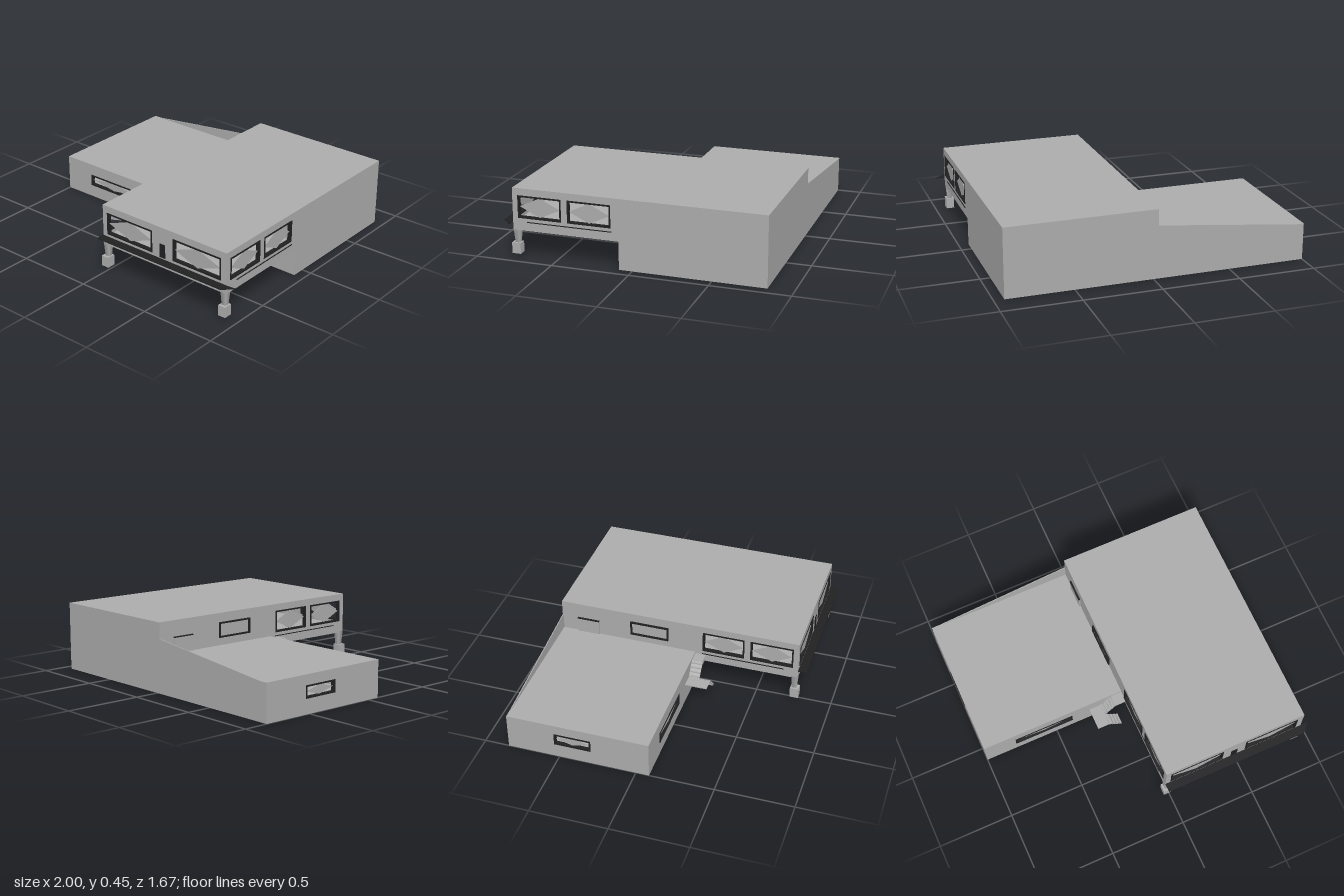
import * as THREE from 'three';

export function createModel() {
  const model = new THREE.Group();
  const grey = new THREE.MeshStandardMaterial({ name: 'concrete grey', color: 0xababab, side: THREE.DoubleSide });
  const dark = new THREE.MeshStandardMaterial({ name: 'frame black', color: 0x202022, side: THREE.DoubleSide });
  const T = 0.02; // wall thickness

  function add(name, geo, mat = grey, parent = model) {
    const mesh = new THREE.Mesh(geo, mat);
    mesh.name = name;
    parent.add(mesh);
    return mesh;
  }

  // Box from its two extreme corners
  function box(name, [x0, x1], [y0, y1], [z0, z1], mat) {
    const geo = new THREE.BoxGeometry(x1 - x0, y1 - y0, z1 - z0);
    geo.translate((x0 + x1) / 2, (y0 + y1) / 2, (z0 + z1) / 2);
    return add(name, geo, mat);
  }

  const polygon = (points) => new THREE.Shape(points.map(([u, v]) => new THREE.Vector2(u, v)));
  const rect = ([u0, u1, v0, v1]) => polygon([[u0, v0], [u1, v0], [u1, v1], [u0, v1]]);

  // Upright plate: axis 'z' spans x and y, axis 'x' spans z and y; lo is its smaller coordinate on the axis
  function plate(name, shape, axis, lo, depth, mat) {
    const geo = new THREE.ExtrudeGeometry(shape, { depth, bevelEnabled: false });
    if (axis === 'x') geo.rotateY(-Math.PI / 2).translate(lo + depth, 0, 0);
    else geo.translate(0, 0, lo);
    return add(name, geo, mat);
  }

  // Black frame around a diamond pane
  function windowUnit(axis, lo, [u0, u1, v0, v1], border = 0.01) {
    const frame = rect([u0, u1, v0, v1]);
    frame.holes.push(rect([u0 + border, u1 - border, v0 + border, v1 - border]));
    plate('windowFrame', frame, axis, lo - 0.003, T + 0.006, dark);
    const um = (u0 + u1) / 2, vm = (v0 + v1) / 2;
    const pane = polygon([[u0 + border, vm], [um, v0 + border], [u1 - border, vm], [um, v1 - border]]);
    plate('diamondPane', pane, axis, lo + 0.008, 0.004, grey);
  }

  // Wall with window openings
  function wall(name, axis, lo, bounds, windows = []) {
    const shape = rect(bounds);
    for (const w of windows) {
      shape.holes.push(rect(w));
      windowUnit(axis, lo, w);
    }
    plate(name, shape, axis, lo, T);
  }

  // Tall rear block
  box('rearBlock', [-0.03, 0.935], [0, 0.45], [-0.84, 0.085]);

  // Raised front room
  wall('frontWall', 'z', 0.775 - T, [-0.03, 0.935, 0.18, 0.45],
    [[0.005, 0.37, 0.258, 0.405], [0.53, 0.895, 0.258, 0.405]]);
  const sideWindows = [[0.135, 0.415, 0.26, 0.405], [0.455, 0.74, 0.26, 0.405]];
  wall('leftWall', 'x', 0.935 - T, [0.085, 0.775 - T, 0.18, 0.45], sideWindows);
  wall('rightWall', 'x', -0.03, [0.085, 0.775 - T, 0.18, 0.45], sideWindows);
  box('frontRoof', [-0.03 + T, 0.935 - T], [0.43, 0.45], [0.085, 0.775 - T]);
  box('frontFloor', [-0.03 + T, 0.935 - T], [0.215, 0.235], [0.085, 0.775 - T]);
  box('balconyDoor', [0.43, 0.472], [0.25, 0.34], [0.774, 0.779], dark);

  // Beams below the raised floor
  box('longBeam', [0.44, 0.465], [0.183, 0.215], [0.085, 0.755]);
  for (const z of [0.1, 0.31, 0.53]) box('crossBeam', [-0.01, 0.915], [0.183, 0.215], [z, z + 0.022]);

  // Tapered posts on block feet
  for (const [x, footX] of [[-0.01, -0.013], [0.912, 0.912]]) {
    const shaft = new THREE.CylinderGeometry(0.03, 0.02, 0.1, 4, 1).rotateY(Math.PI / 4);
    add('postShaft', shaft.toNonIndexed()).position.set(x, 0.14, 0.754);
    box('postFoot', [footX - 0.026, footX + 0.026], [0.025, 0.095], [0.73, 0.787]);
  }

  // Thin mitred ledge along the front
  const ledge = new THREE.ExtrudeGeometry(
    polygon([[-0.03, 0.775], [0.935, 0.775], [0.995, 0.77], [0.935, 0.832], [-0.03, 0.832]]),
    { depth: 0.005, bevelEnabled: false });
  ledge.rotateX(Math.PI / 2).translate(0, 0.24, 0);
  add('frontLedge', ledge, dark);
  for (const x of [-0.034, 0.935]) box('sideTrim', [x, x + 0.004], [0.234, 0.239], [0.13, 0.68], dark);

  // Low wing
  wall('wingFrontWall', 'z', 0.085 - T, [-1, -0.03, 0, 0.24], [[-0.787, -0.383, 0.085, 0.163]]);
  wall('wingSideWall', 'x', -1, [-0.84 + T, 0.085 - T, 0, 0.24], [[-0.53, -0.29, 0.095, 0.175]]);
  wall('wingBackWall', 'z', -0.84, [-1, -0.03, 0, 0.24]);
  box('wingRoof', [-1 + T, -0.03], [0.22, 0.24], [-0.84 + T, 0.085 - T]);
  box('wingFloor', [-1 + T, -0.03], [0, 0.02], [-0.84 + T, 0.085 - T]);

  // Sloping parapet and openings above the wing roof
  plate('parapet', polygon([[-0.95, 0.24], [-0.03, 0.24], [-0.03, 0.345]]), 'z', -0.84, 0.006);
  windowUnit('x', -0.038, [-0.36, -0.1, 0.29, 0.39]);
  box('roofDoor', [-0.039, -0.03], [0.24, 0.34], [-0.73, -0.58], grey);
  box('roofDoorTop', [-0.042, -0.03], [0.34, 0.346], [-0.73, -0.58], dark);

  // Ground door with its ramp
  box('groundDoor', [0.43, 0.475], [0.035, 0.14], [0.085, 0.091]);
  plate('doorRamp', polygon([[0.085, 0], [0.19, 0], [0.085, 0.038]]), 'x', 0.43, 0.045);

  // Switchback stair: landing, upper and lower flights of thin slabs
  box('stairLanding', [-0.26, -0.17], [0.135, 0.141], [0.085, 0.23]);
  function flight(name, [x0, y0], [x1, y1], z) {
    const t = 0.008;
    plate(name, polygon([[x0, y0], [x1, y1], [x1, y1 + t], [x0, y0 + t]]), 'z', z, 0.072);
    for (let i = 0; i < 4; i++) {
      const f = (i + 0.5) / 4, x = x0 + (x1 - x0) * f, y = y0 + (y1 - y0) * f;
      box('stairTread', [x - 0.01, x + 0.01], [y + 0.004, y + 0.009], [z, z + 0.072]);
    }
  }
  flight('upperFlight', [-0.18, 0.135], [-0.105, 0.222], 0.086);
  flight('lowerFlight', [-0.18, 0.135], [-0.09, 0.035], 0.158);
  box('topLanding', [-0.107, -0.03], [0.222, 0.23], [0.086, 0.158]);

  return model;
}
